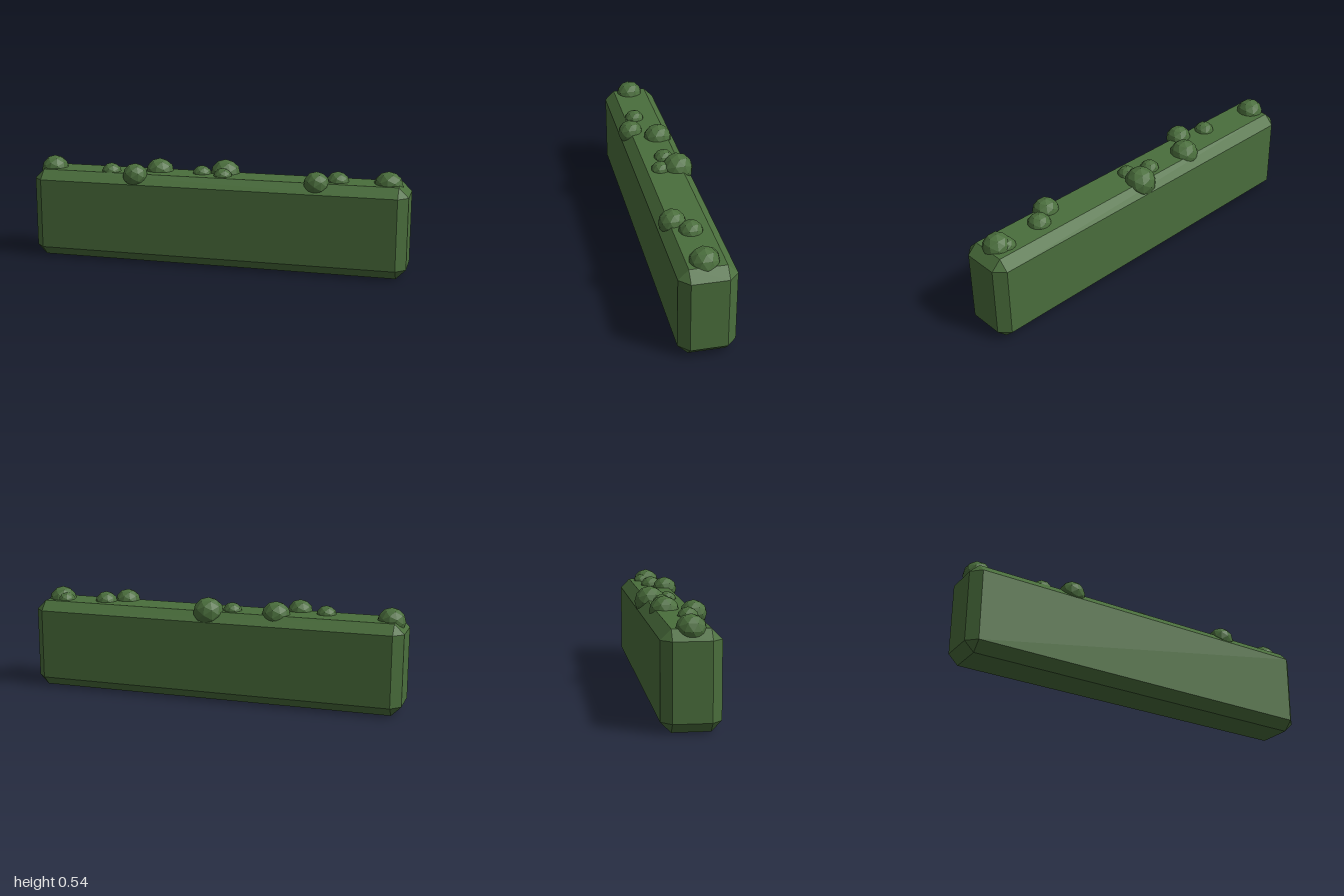
import * as THREE from 'three';
import { ConvexGeometry } from 'three/addons/geometries/ConvexGeometry.js';

// Box with all edges cut at 45 degrees, built as a hull of its 24 corners
function chamferedBox(w, h, d, c) {
  const points = [];
  for (const sx of [-1, 1]) for (const sy of [-1, 1]) for (const sz of [-1, 1]) {
    const x = w / 2, y = h / 2, z = d / 2;
    points.push(
      new THREE.Vector3(sx * x, sy * (y - c), sz * (z - c)),
      new THREE.Vector3(sx * (x - c), sy * y, sz * (z - c)),
      new THREE.Vector3(sx * (x - c), sy * (y - c), sz * z),
    );
  }
  return new ConvexGeometry(points);
}

export function createModel() {
  const model = new THREE.Group();
  model.name = 'hedge';

  const leafGreen = new THREE.MeshStandardMaterial({ color: 0x4a6e3c, flatShading: true });
  leafGreen.name = 'leafGreen';

  // Clipped hedge body
  const body = new THREE.Mesh(chamferedBox(2, 0.47, 0.281, 0.05), leafGreen);
  body.name = 'hedgeBody';
  body.position.set(0, 0.235, -0.0025);
  model.add(body);

  // Leaf tufts along the top: x, z, radius
  const tufts = [
    [-0.92, 0, 0.073], [-0.58, 0.037, 0.054], [-0.43, 0.087, 0.067],
    [-0.335, -0.045, 0.076], [-0.095, -0.025, 0.052], [0.02, -0.075, 0.081],
    [0.028, 0.017, 0.051], [0.533, 0.07, 0.068], [0.632, 0.002, 0.061],
    [0.86, -0.025, 0.051], [0.89, 0.002, 0.074],
  ];
  const tuftGeometry = new THREE.IcosahedronGeometry(1, 1);
  tufts.forEach(([x, z, r], i) => {
    const tuft = new THREE.Mesh(tuftGeometry, leafGreen);
    tuft.name = `leafTuft${i + 1}`;
    tuft.position.set(x, 0.46, z);
    tuft.scale.setScalar(r);
    model.add(tuft);
  });

  return model;
}
